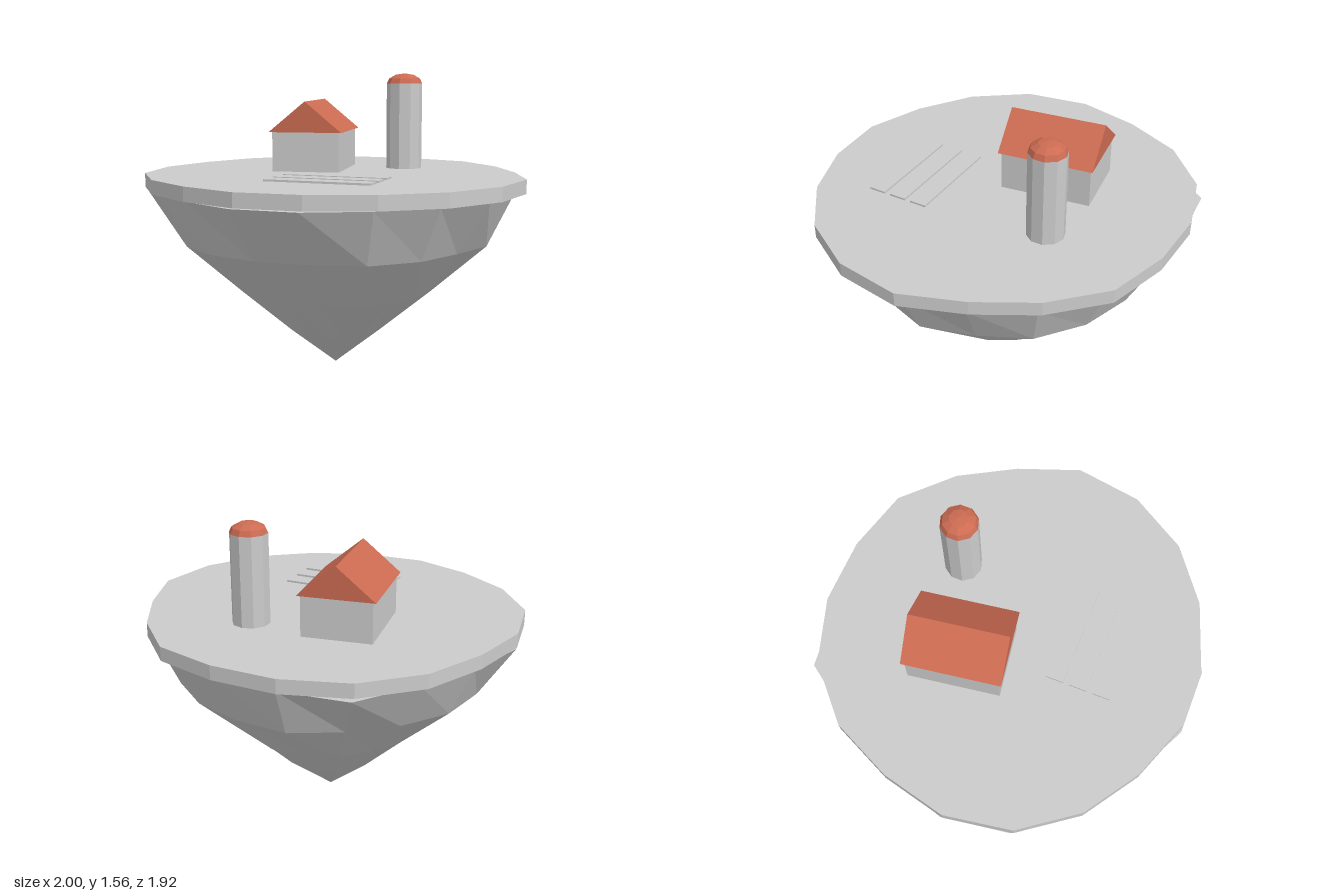
import * as THREE from 'three';

const SIDES = 18;
const GROUND = 1.038;

const grey = new THREE.MeshStandardMaterial({ color: 0xcccccc, flatShading: true });
const red = new THREE.MeshStandardMaterial({ color: 0xcc6b52, flatShading: true });

function addMesh(parent, name, geometry, material, x = 0, y = 0, z = 0) {
  const mesh = new THREE.Mesh(geometry, material);
  mesh.name = name;
  mesh.position.set(x, y, z);
  parent.add(mesh);
  return mesh;
}

// Small seeded generator, returns -1..1
function seeded(seed) {
  return () => {
    seed = (seed * 16807) % 2147483647;
    return (seed / 2147483647) * 2 - 1;
  };
}

// Skins a stack of rings (top to bottom) with flat facets
function loft(rings) {
  const pos = [];
  for (let j = 0; j < rings.length - 1; j++) {
    for (let k = 0; k < SIDES; k++) {
      const n = (k + 1) % SIDES;
      const [a, b] = [rings[j][k], rings[j][n]];
      const [c, d] = [rings[j + 1][k], rings[j + 1][n]];
      if (!a.equals(b)) pos.push(...c, ...a, ...b);
      if (!c.equals(d)) pos.push(...c, ...b, ...d);
    }
  }
  const geometry = new THREE.BufferGeometry();
  geometry.setAttribute('position', new THREE.Float32BufferAttribute(pos, 3));
  geometry.computeVertexNormals();
  return geometry;
}

// Uneven round plate of ground
function slabGeometry() {
  const radii = [1, 1, 0.985, 0.96, 0.95, 0.96, 0.95, 0.98, 1.01, 1, 0.975, 1, 1.01, 0.985, 0.97, 0.99, 0.955, 0.945];
  const points = radii.map((r, k) => {
    const a = (k / SIDES) * Math.PI * 2 - 0.015;
    return new THREE.Vector2(r * Math.cos(a), r * Math.sin(a));
  });
  const geometry = new THREE.ExtrudeGeometry(new THREE.Shape(points), { depth: 0.073, bevelEnabled: false });
  return geometry.rotateX(Math.PI / 2);
}

// Craggy cone hanging below the plate
function rockGeometry() {
  const rim = [0.94, 0.94, 0.94, 0.94, 0.97, 0.97, 0.93, 0.96, 1.01, 1, 0.95, 0.95, 1.04, 0.95, 0.94, 0.94, 0.93, 0.93];
  const rand = seeded(41);
  const ring = (y, radius, jitter) => Array.from({ length: SIDES }, (_, k) => {
    const a = (k / SIDES) * Math.PI * 2;
    const r = radius(k) * (1 + jitter * rand());
    const drift = 1 - y / 0.962;
    return new THREE.Vector3(r * Math.cos(a) - 0.016 * drift, y, r * Math.sin(a) - 0.03 * drift);
  });
  return loft([
    ring(0.962, () => 0, 0),
    ring(0.962, (k) => rim[k], 0),
    ring(0.69, () => 0.79, 0.03),
    ring(0.43, () => 0.51, 0.04),
    ring(0.2, () => 0.25, 0.05),
    ring(0, () => 0, 0),
  ]);
}

function createHouse() {
  const house = new THREE.Group();
  house.name = 'house';
  addMesh(house, 'walls', new THREE.BoxGeometry(0.36, 0.215, 0.475), grey, 0, 0.1075, 0);

  // Gabled roof prism
  const gable = new THREE.Shape([
    new THREE.Vector2(-0.197, 0),
    new THREE.Vector2(0.197, 0),
    new THREE.Vector2(0, 0.163),
  ]);
  const roof = new THREE.ExtrudeGeometry(gable, { depth: 0.5, bevelEnabled: false });
  addMesh(house, 'roof', roof, red, 0, 0.212, -0.25);

  house.position.set(-0.202, GROUND - 0.002, -0.208);
  house.rotation.y = 0.145;
  return house;
}

function createSilo() {
  const silo = new THREE.Group();
  silo.name = 'silo';
  const radius = 0.097;
  const height = 0.465;
  addMesh(silo, 'siloBody', new THREE.CylinderGeometry(radius, radius, height, 10), grey, 0, height / 2, 0);

  // Flattened dome
  const profile = [];
  for (let i = 0; i <= 3; i++) {
    const a = (i / 3) * Math.PI / 2;
    profile.push(new THREE.Vector2(i === 3 ? 0 : radius * Math.cos(a), 0.055 * Math.sin(a)));
  }
  addMesh(silo, 'siloDome', new THREE.LatheGeometry(profile, 10), red, 0, height, 0);

  silo.position.set(0.255, GROUND - 0.002, -0.39);
  return silo;
}

export function createModel() {
  const model = new THREE.Group();
  model.name = 'floatingFarm';
  addMesh(model, 'groundPlate', slabGeometry(), grey, 0, GROUND, 0);
  addMesh(model, 'rockUnderside', rockGeometry(), grey);
  model.add(createHouse(), createSilo());

  // Three planting beds hovering just over the ground
  const beds = new THREE.Group();
  beds.name = 'plantingBeds';
  for (let i = 0; i < 3; i++) {
    addMesh(beds, 'plantingBed', new THREE.BoxGeometry(0.545, 0.01, 0.09), grey, 0.102, 1.051, 0.277 + i * 0.123);
  }
  model.add(beds);
  return model;
}
